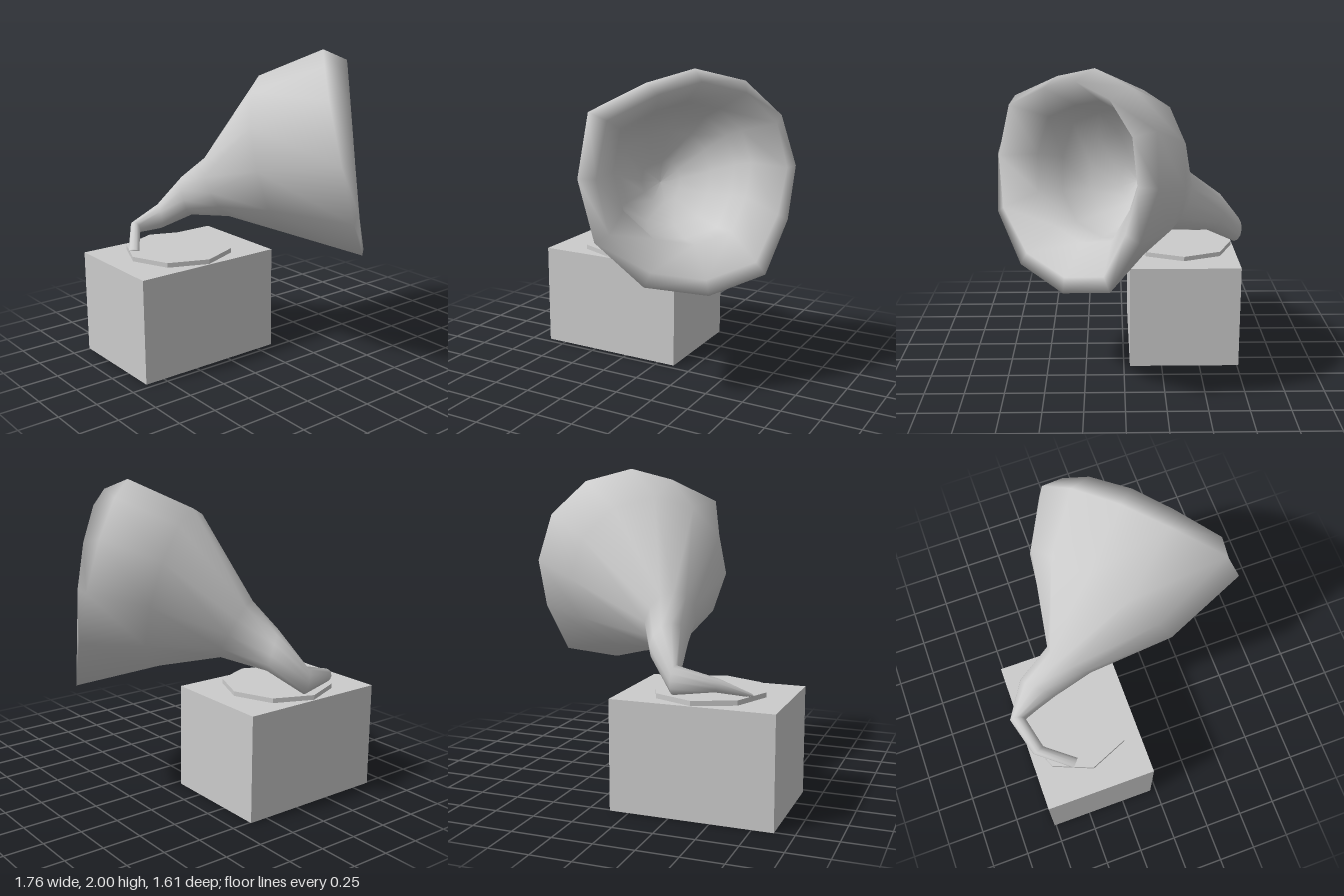
import * as THREE from 'three';

const SIDES = 12;

// Even ring outline, and the slightly uneven outline of the mouth
const even = Array.from({ length: SIDES }, (_, j) => {
  const a = (j / SIDES) * Math.PI * 2;
  return [Math.cos(a), Math.sin(a)];
});
const uneven = [
  [1.01, 0.1], [0.9, 0.56], [0.57, 0.88], [0.1, 1], [-0.35, 0.89], [-0.88, 0.66],
  [-1.01, 0.1], [-0.9, -0.45], [-0.49, -0.87], [0.1, -1], [0.65, -0.86], [0.9, -0.38],
];

// Skin a list of rings { c: centre, n: facing, ru: half width, rv: half height, shape }
function loft(rings) {
  const up = new THREE.Vector3(0, 1, 0);
  const pos = [], index = [];
  for (const { c, n, ru, rv, shape = even } of rings) {
    const w = new THREE.Vector3(...n).normalize();
    const u = new THREE.Vector3().crossVectors(up, w).normalize();
    const v = new THREE.Vector3().crossVectors(w, u);
    for (const [a, b] of shape) {
      const p = new THREE.Vector3(...c).addScaledVector(u, a * ru).addScaledVector(v, b * rv);
      pos.push(p.x, p.y, p.z);
    }
  }
  for (let i = 0; i < rings.length - 1; i++) {
    for (let j = 0; j < SIDES; j++) {
      const a = i * SIDES + j, b = i * SIDES + (j + 1) % SIDES;
      index.push(a, b, b + SIDES, a, b + SIDES, a + SIDES);
    }
  }
  const geo = new THREE.BufferGeometry();
  geo.setAttribute('position', new THREE.Float32BufferAttribute(pos, 3));
  geo.setIndex(index);
  geo.computeVertexNormals();
  return geo;
}

export function createModel() {
  const group = new THREE.Group();
  const grey = new THREE.MeshStandardMaterial({ color: 0xcccccc });
  const flat = new THREE.MeshStandardMaterial({ color: 0xcccccc, flatShading: true });
  const skin = new THREE.MeshStandardMaterial({ color: 0xcccccc, side: THREE.DoubleSide });

  const add = (name, geo, mat, x = 0, y = 0, z = 0) => {
    const mesh = new THREE.Mesh(geo, mat);
    mesh.name = name;
    mesh.position.set(x, y, z);
    group.add(mesh);
  };

  // Cabinet and eight-sided turntable
  add('cabinet', new THREE.BoxGeometry(1, 0.68, 0.72), grey, -0.38, 0.34, -0.4);
  add('turntable', new THREE.CylinderGeometry(0.35, 0.35, 0.03, 8), flat, -0.38, 0.695, -0.4);

  // Tone arm, elbow, neck and outside of the bell
  const rings = [
    { c: [-0.66, 0.71, -0.5], n: [0.6, 0.3, -0.7], ru: 0.001, rv: 0.001 },
    { c: [-0.66, 0.71, -0.5], n: [0.6, 0.3, -0.7], ru: 0.035, rv: 0.012 },
    { c: [-0.52, 0.8, -0.7], n: [0.9, 0.3, -0.3], ru: 0.04, rv: 0.042 },
    { c: [-0.29, 0.825, -0.76], n: [1, 0.1, 0.25], ru: 0.05, rv: 0.088 },
    { c: [-0.185, 0.99, -0.575], n: [0.7, 0.25, 0.69], ru: 0.125, rv: 0.135 },
    { c: [-0.1, 1.085, -0.325], n: [0.5, 0.45, 0.75], ru: 0.16, rv: 0.215 },
    { c: [0.15, 1.32, -0.035], n: [0.61, 0.22, 0.79], ru: 0.52, rv: 0.52 },
  ];

  // Mouth: rim, rolled lip, throat, then the bowl inside
  // Each row is radius, depth, lift of the centre, upward tilt
  const mouth = new THREE.Vector3(0.42, 1.345, 0.32);
  const facing = new THREE.Vector3(0.72, 0.22, 0.69).normalize();
  const bowl = [
    [0.67, 0, 0, 0.22], [0.58, 0.065, 0, 0.1], [0.43, -0.13, 0.06, 0.2], [0.4, -0.32, 0.06, 0.22],
    [0.3, -0.48, 0.04, 0.22], [0.13, -0.59, 0.02, 0.22], [0.001, -0.61, 0.02, 0.22],
  ];
  for (const [r, depth, lift, tilt] of bowl) {
    const c = mouth.clone().addScaledVector(facing, depth);
    c.y += lift;
    rings.push({ c: c.toArray(), n: [0.72, tilt, 0.69], ru: r, rv: r, shape: uneven });
  }
  add('horn', loft(rings), skin);

  return group;
}
